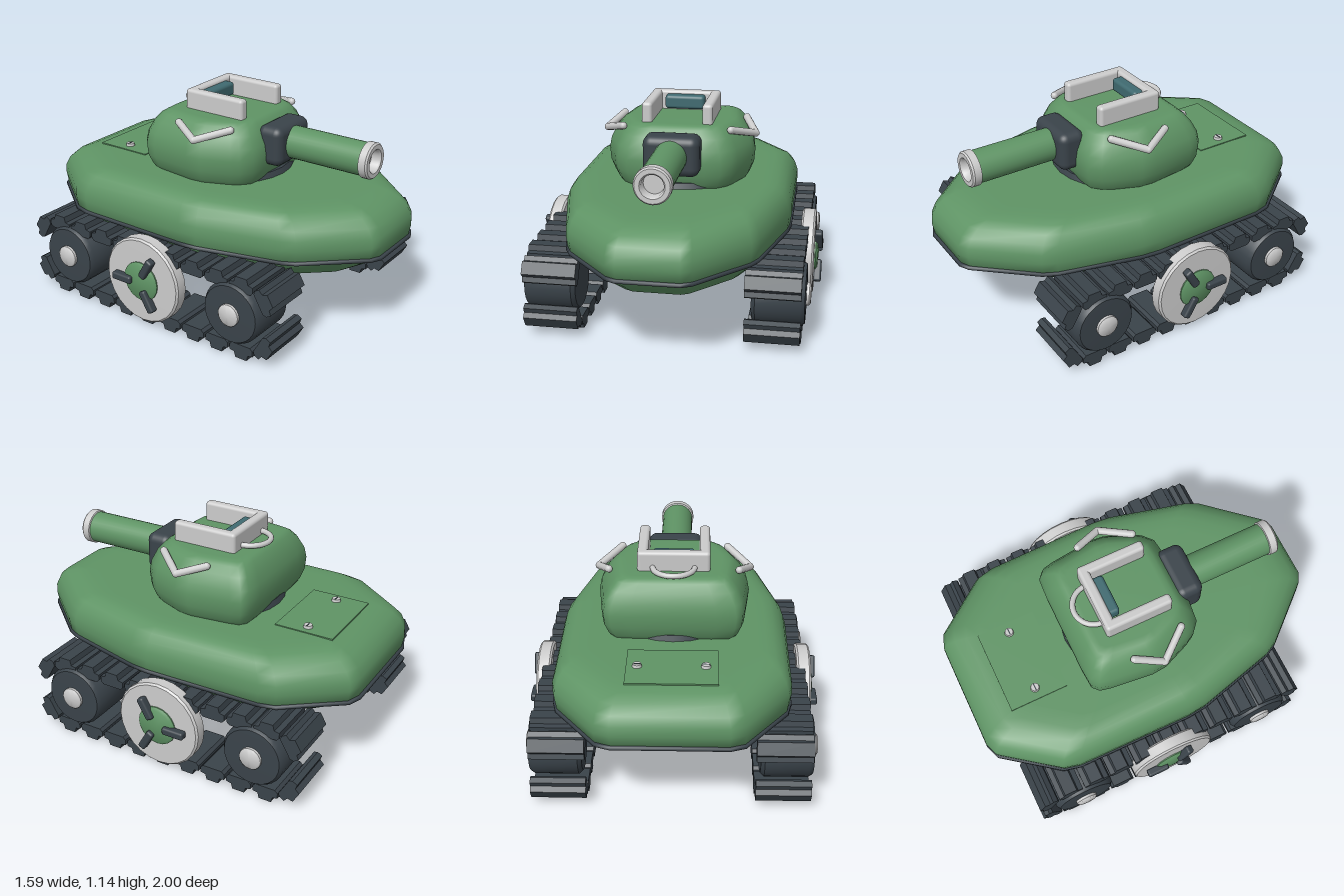
import * as THREE from 'three';
import { RoundedBoxGeometry } from 'three/addons/geometries/RoundedBoxGeometry.js';
import { toCreasedNormals } from 'three/addons/utils/BufferGeometryUtils.js';

const mat = (color) => new THREE.MeshStandardMaterial({ color });
const green = mat(0x5f9465), dark = mat(0x3a434a), grey = mat(0xcccccc), teal = mat(0x3f6a70);

function add(parent, name, geometry, material, x = 0, y = 0, z = 0) {
  const mesh = new THREE.Mesh(geometry, material);
  mesh.name = name;
  mesh.position.set(x, y, z);
  parent.add(mesh);
  return mesh;
}

// Mirror a half outline (front to back, x > 0) and trim every corner
function plan(half, cut = 0.15) {
  const all = [...half, ...half.map(([x, z]) => [-x, z]).reverse()];
  const mix = (a, b) => [a[0] + (b[0] - a[0]) * cut, a[1] + (b[1] - a[1]) * cut];
  return all.flatMap((p, i) => [
    mix(p, all[(i + all.length - 1) % all.length]),
    mix(p, all[(i + 1) % all.length]),
  ]);
}

// Stack scaled copies of an outline; rings are [y, scale], bottom to top
function loft(outline, rings, cz = 0) {
  const pos = [], idx = [], n = outline.length;
  for (const [y, s] of rings)
    for (const [x, z] of outline) pos.push(x * s, y, cz + (z - cz) * s);
  for (let j = 0; j < rings.length - 1; j++)
    for (let i = 0; i < n; i++) {
      const a = j * n + i, b = j * n + (i + 1) % n;
      idx.push(a, b, b + n, a, b + n, a + n);
    }
  const top = (rings.length - 1) * n, c = rings.length * n;
  pos.push(0, rings[0][0], cz, 0, rings[rings.length - 1][0], cz);
  for (let i = 0; i < n; i++) {
    const k = (i + 1) % n;
    idx.push(k, i, c, top + i, top + k, c + 1);
  }
  const g = new THREE.BufferGeometry();
  g.setAttribute('position', new THREE.Float32BufferAttribute(pos, 3));
  g.setIndex(idx);
  g.computeVertexNormals();
  return g;
}

// Turned part from [radius, height] points, its axis laid along 'x' or 'z'
function turned(points, axis, sides = 28) {
  const g = new THREE.LatheGeometry(points.map((p) => new THREE.Vector2(...p)), sides);
  if (axis === 'x') g.rotateZ(-Math.PI / 2);
  if (axis === 'z') g.rotateX(Math.PI / 2);
  return toCreasedNormals(g, 0.7);
}

// Bar of round section following straight segments
function bar(points, r) {
  const path = new THREE.CurvePath();
  const v = points.map((p) => new THREE.Vector3(...p));
  for (let i = 1; i < v.length; i++) path.add(new THREE.LineCurve3(v[i - 1], v[i]));
  return new THREE.TubeGeometry(path, 16, r, 10);
}

// Track pad: a plate with a narrower lug on its outer face
function padGeometry() {
  const s = new THREE.Shape([
    [-0.055, 0], [0.055, 0], [0.07, 0.015], [0.07, 0.045], [0.042, 0.05], [0.034, 0.08],
    [-0.034, 0.08], [-0.042, 0.05], [-0.07, 0.045], [-0.07, 0.015],
  ].map((p) => new THREE.Vector2(...p)));
  const g = new THREE.ExtrudeGeometry(s, { depth: 0.285, bevelEnabled: false });
  return g.translate(0, 0, -0.1425).rotateY(Math.PI / 2);
}

function buildTrack(side) {
  const track = new THREE.Group();
  track.name = side > 0 ? 'leftTrack' : 'rightTrack';
  const mid = -0.08, pad = padGeometry();
  const place = (y, z, angle) => {
    add(track, 'trackPad', pad, dark, 0.575, y, mid + z).rotation.x = angle;
  };
  for (let i = -4; i <= 4; i++) {
    place(0.38, i * 0.153, 0);
    place(0.08, i * 0.153, Math.PI);
  }
  for (const s of [-1, 1]) {
    place(0.345, s * 0.715, s * Math.PI / 3);
    place(0.12, s * 0.715, s * Math.PI * 2 / 3);
  }

  // Road wheels with hub caps
  const wheel = turned([[0, 0.46], [0.15, 0.46], [0.17, 0.48], [0.17, 0.71], [0.155, 0.733], [0, 0.738]], 'x');
  const cap = turned([[0.06, 0.72], [0.06, 0.75], [0.05, 0.758], [0, 0.76]], 'x', 20);
  for (const z of [0.475, -0.62]) {
    add(track, 'roadWheel', wheel, dark, 0, 0.245, z);
    add(track, 'hubCap', cap, grey, 0, 0.245, z);
  }

  // Large centre disc with hub and three blades
  const disc = turned([[0, 0.675], [0.23, 0.675], [0.24, 0.685], [0.24, 0.742], [0.23, 0.752], [0, 0.755]], 'x', 24);
  add(track, 'driveDisc', disc, grey, 0, 0.265, mid);
  add(track, 'driveHub', turned([[0.11, 0.74], [0.11, 0.76], [0.095, 0.77], [0, 0.775]], 'x', 20), green, 0, 0.265, mid);
  for (let i = 0; i < 3; i++) {
    const a = Math.PI + i * Math.PI * 2 / 3;
    const blade = add(track, 'driveBlade', new RoundedBoxGeometry(0.045, 0.042, 0.125, 3, 0.012), dark,
      0.772, 0.265 + Math.sin(a) * 0.11, mid + Math.cos(a) * 0.11);
    blade.rotation.x = -a;
  }

  // Mirror by moving vertices so the faces keep pointing outward
  if (side < 0) track.rotation.y = Math.PI;
  if (side < 0) for (const m of track.children) {
    m.position.z *= -1;
    m.rotation.x *= -1;
  }
  return track;
}

function buildHull() {
  const hull = new THREE.Group();
  hull.name = 'hull';
  const outline = plan([[0.19, 1], [0.49, 0.66], [0.625, 0.13], [0.615, -0.65], [0.35, -1]], 0.08);
  add(hull, 'hullBody', loft(outline, [
    [0.29, 0.6], [0.295, 0.68], [0.32, 0.76], [0.4, 0.885], [0.47, 0.985], [0.54, 0.998], [0.59, 0.995],
    [0.64, 0.97], [0.68, 0.925], [0.705, 0.86], [0.713, 0.79], [0.715, 0.7],
  ]), green);
  add(hull, 'hullTrim', loft(outline, [[0.462, 0.985], [0.464, 1], [0.48, 1], [0.482, 0.985]]), dark);

  // Engine hatch and its bolts
  add(hull, 'engineHatch', new THREE.BoxGeometry(0.465, 0.02, 0.325), green, -0.003, 0.71, -0.638);
  for (const x of [-0.173, 0.173]) {
    add(hull, 'hatchBolt', new THREE.CylinderGeometry(0.022, 0.026, 0.02, 16), grey, x, 0.725, -0.638);
    add(hull, 'boltSlot', new THREE.BoxGeometry(0.036, 0.004, 0.006), dark, x, 0.735, -0.638);
  }
  return hull;
}

function buildTurret() {
  const turret = new THREE.Group();
  turret.name = 'turret';
  const outline = plan([[0.24, 0.29], [0.32, 0.22], [0.41, 0], [0.37, -0.34], [0.32, -0.385]], 0.15);
  add(turret, 'turretBody', loft(outline, [
    [0.7, 0.87], [0.735, 0.93], [0.79, 0.985], [0.86, 1], [0.92, 0.97], [0.98, 0.89],
    [1.02, 0.8], [1.036, 0.73], [1.04, 0.64],
  ], -0.05), green);
  add(turret, 'turretRing', new THREE.CylinderGeometry(0.33, 0.35, 0.05, 24), dark, 0, 0.72, -0.04);

  // Gun
  add(turret, 'mantlet', new RoundedBoxGeometry(0.3, 0.215, 0.15, 4, 0.045), dark, 0, 0.908, 0.297);
  add(turret, 'barrel', turned([[0.088, 0.3], [0.088, 0.81]], 'z'), green, 0, 0.91, 0);
  add(turret, 'muzzle', turned([
    [0.088, 0.8], [0.096, 0.803], [0.096, 0.843], [0.088, 0.852], [0.064, 0.852], [0.056, 0.843], [0.053, 0.8], [0, 0.8],
  ], 'z'), grey, 0, 0.91, 0);

  // U-shaped guard around the sight
  for (const x of [-0.163, 0.163])
    add(turret, 'guardSide', new RoundedBoxGeometry(0.056, 0.12, 0.37, 3, 0.018), grey, x, 1.085, -0.025);
  add(turret, 'guardBack', new RoundedBoxGeometry(0.38, 0.12, 0.056, 3, 0.018), grey, 0, 1.085, -0.182);
  add(turret, 'sight', new RoundedBoxGeometry(0.22, 0.075, 0.07, 3, 0.018), teal, 0, 1.09, -0.135);

  // Rear lifting loop
  const loop = new THREE.TorusGeometry(0.11, 0.015, 10, 24, Math.PI).rotateX(-Math.PI / 2);
  add(turret, 'liftingLoop', loop, grey, 0, 1.06, -0.2);

  // Bent grab handles
  for (const s of [-1, 1]) {
    const a = [s * 0.29, 1.015, 0.16], b = [s * 0.41, 0.965, 0.01], c = [s * 0.345, 1.015, -0.135];
    const handle = new THREE.Group();
    handle.name = s > 0 ? 'leftHandle' : 'rightHandle';
    for (const [p, q] of [[a, b], [b, c]]) add(handle, 'handleBar', bar([p, q], 0.02), grey);
    for (const p of [a, b, c]) add(handle, 'handleJoint', new THREE.SphereGeometry(0.02, 12, 8), grey, ...p);
    turret.add(handle);
  }
  return turret;
}

export function createModel() {
  const model = new THREE.Group();
  model.name = 'tank';
  model.add(buildHull(), buildTurret(), buildTrack(1), buildTrack(-1));
  return model;
}
